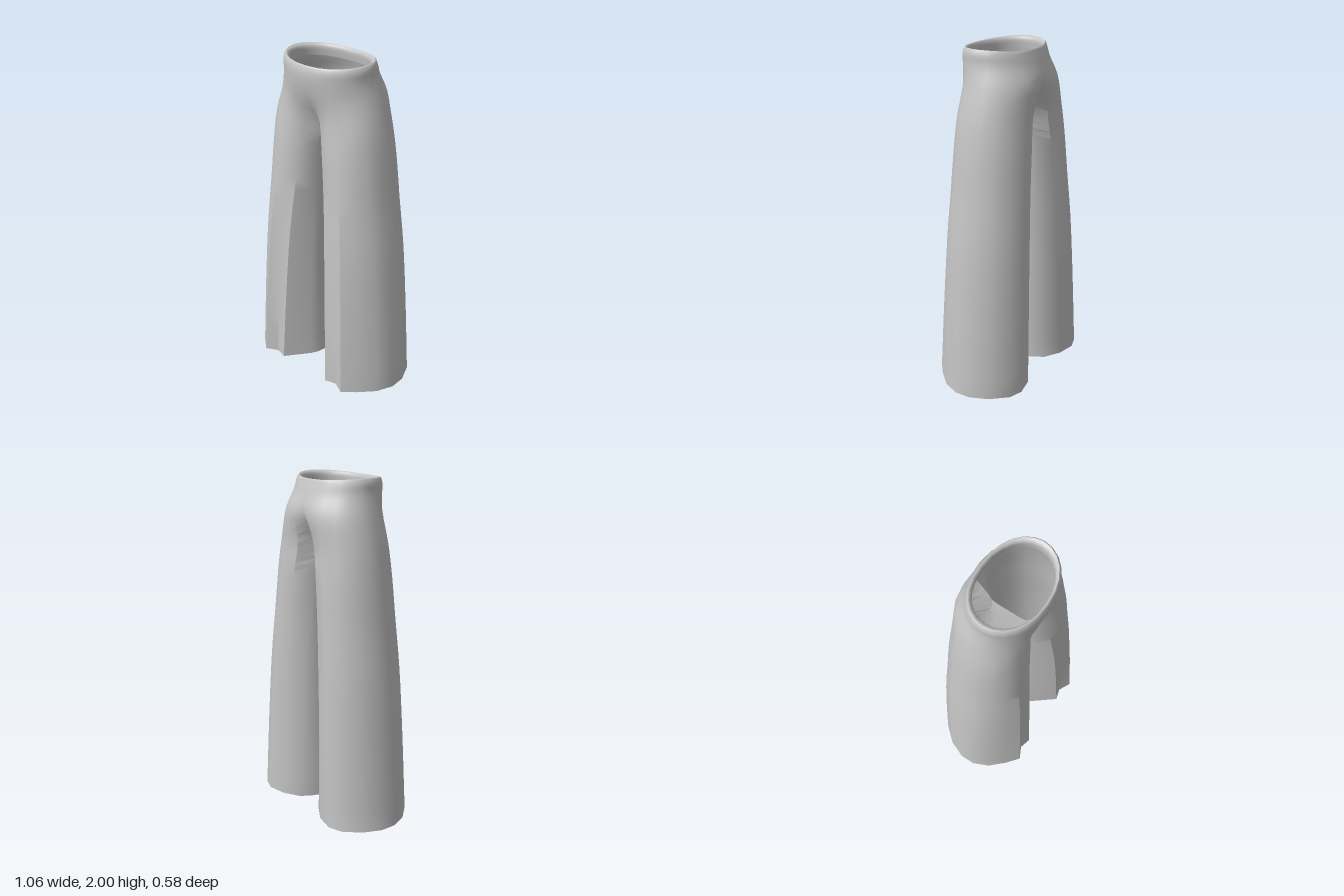
import * as THREE from 'three';
import { toCreasedNormals } from 'three/addons/utils/BufferGeometryUtils.js';

// Half cross-sections as [x, z], running front seam -> outside -> back seam,
// followed by the inner-leg columns (back to front) where there are any.
const SEAM = 12; // column index of the back seam
const HEM = [
  [0.07, 0.13], [0.18, 0.27], [0.25, 0.25], [0.325, 0.288], [0.4, 0.225], [0.485, 0.135],
  [0.53, 0.035], [0.53, -0.06], [0.485, -0.17], [0.4, -0.265], [0.315, -0.293], [0.2, -0.27],
  [0.1, -0.21], [0.06, -0.14], [0.04, -0.08], [0.035, -0.03], [0.036, 0.03], [0.045, 0.08],
];
const CROTCH = [
  [0, 0.1], [0.06, 0.165], [0.13, 0.197], [0.2, 0.19], [0.27, 0.165], [0.33, 0.11],
  [0.362, 0.03], [0.362, -0.05], [0.335, -0.13], [0.27, -0.2], [0.18, -0.235], [0.08, -0.215],
  [0, -0.12], [0, -0.08], [0, -0.04], [0, 0], [0, 0.03], [0, 0.06],
];
const HIP = [
  [0, 0.198], [0.08, 0.203], [0.15, 0.193], [0.2, 0.17], [0.25, 0.135], [0.295, 0.08], [0.318, 0.02],
  [0.318, -0.05], [0.295, -0.12], [0.24, -0.185], [0.16, -0.23], [0.07, -0.243], [0, -0.228],
];
// Leg levels: height, flare towards the hem (0..1), half gap between the legs
const LEG = [
  [0, 1, 0.035], [0.5, 0.79, 0.035], [0.9, 0.58, 0.033],
  [1.2, 0.345, 0.028], [1.45, 0.167, 0.014], [1.62, 0, 0],
];
// Waist levels: height, half width, front z, back z; the last ones roll inwards
const WAIST = [
  [1.92, 0.289, 0.225, -0.21], [1.975, 0.285, 0.223, -0.19], [2, 0.272, 0.212, -0.178],
  [1.985, 0.25, 0.2, -0.165], [1.93, 0.25, 0.198, -0.17],
];
const STEPS = 4; // rows between two levels

// Smooth line up one column of the cloth
function columnPoints(i) {
  const points = LEG.map(([y, flare, gap]) => {
    const x = THREE.MathUtils.lerp(CROTCH[i][0], HEM[i][0], flare);
    const z = THREE.MathUtils.lerp(CROTCH[i][1], HEM[i][1], flare);
    const out = THREE.MathUtils.lerp(0.362, 0.53, flare);
    const height = i > SEAM && y > 1.6 ? 1.61 : y;
    return new THREE.Vector3(x + (gap - 0.035 * flare) * (1 - x / out), height, z);
  });
  if (i <= SEAM) {
    points.push(new THREE.Vector3(HIP[i][0], 1.8, HIP[i][1]));
    const a = (Math.PI * i) / SEAM;
    for (const [y, out, front, back] of WAIST) {
      const x = i % SEAM === 0 ? 0 : out * Math.sin(a) ** 0.9;
      const z = (front + back) / 2 + ((front - back) / 2) * Math.cos(a);
      points.push(new THREE.Vector3(x, y - 0.014 * Math.cos(a) ** 2, z));
    }
  }
  const curve = new THREE.CatmullRomCurve3(points);
  const rows = (points.length - 1) * STEPS;
  return curve.getPoints(rows).map((p) => p.setX(Math.max(p.x, 0)));
}

// Both mirrored halves in one skin, so that the centre seam shades smoothly
function trouserGeometry() {
  const columns = HEM.map((_, i) => columnPoints(i));
  const positions = [];
  const indices = [];
  for (const side of [1, -1]) {
    const start = columns.map((column) => {
      const first = positions.length / 3;
      for (const p of column) positions.push(p.x * side, p.y, p.z);
      return first;
    });
    columns.forEach((column, i) => {
      const n = (i + 1) % columns.length;
      const rows = Math.min(column.length, columns[n].length) - 1;
      for (let j = 0; j < rows; j++) {
        const a = start[i] + j;
        const b = start[n] + j;
        if (side > 0) indices.push(a, b, b + 1, a, b + 1, a + 1);
        else indices.push(a, b + 1, b, a, a + 1, b + 1);
      }
    });
  }
  const geometry = new THREE.BufferGeometry();
  geometry.setAttribute('position', new THREE.Float32BufferAttribute(positions, 3));
  geometry.setIndex(indices);
  return toCreasedNormals(geometry, 0.65);
}

export function createModel() {
  const cloth = new THREE.MeshStandardMaterial({ color: 0xc4c4c4, side: THREE.DoubleSide });
  cloth.name = 'grey cloth';
  const trousers = new THREE.Mesh(trouserGeometry(), cloth);
  trousers.name = 'wideLegTrousers';
  const group = new THREE.Group();
  group.name = 'trousers';
  group.add(trousers);
  return group;
}
